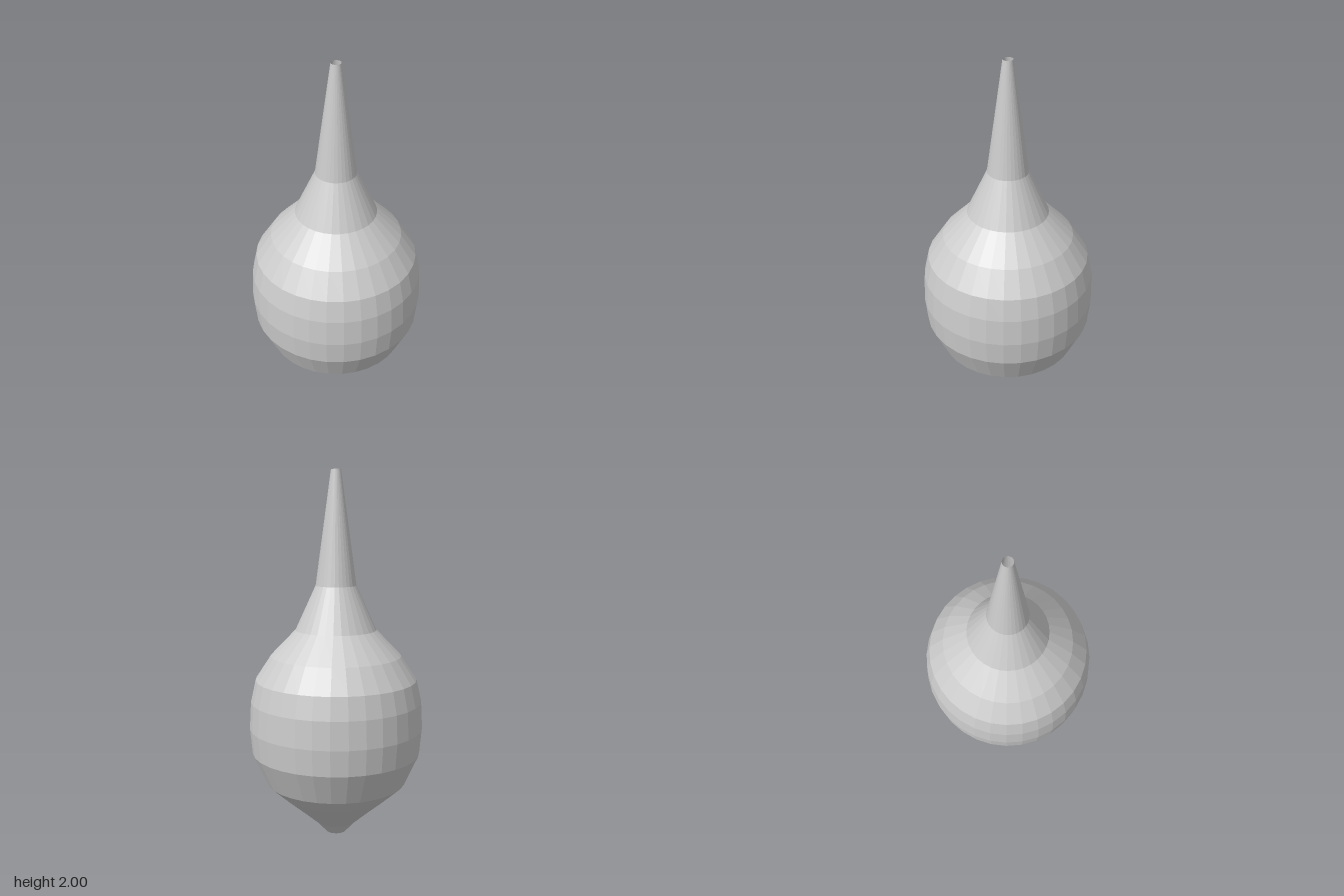
import * as THREE from 'three';

export function createModel() {
  const group = new THREE.Group();
  group.name = 'bulb';

  // Profile as [radius, height], from the open base to the open nozzle tip
  const profile = [
    [0.055, 0], [0.11, 0.06], [0.19, 0.13], [0.29, 0.215], [0.385, 0.3],
    [0.462, 0.47], [0.475, 0.61], [0.467, 0.76], [0.44, 0.88],
    [0.355, 1.01], [0.22, 1.15], [0.11, 1.39], [0.027, 2],
  ].map(([r, y]) => new THREE.Vector2(r, y));

  // Thin faceted shell, open at both ends
  const material = new THREE.MeshStandardMaterial({
    color: 0xcccccc,
    flatShading: true,
    side: THREE.DoubleSide,
  });
  const shell = new THREE.Mesh(new THREE.LatheGeometry(profile, 32), material);
  shell.name = 'bulbShell';
  group.add(shell);

  return group;
}
